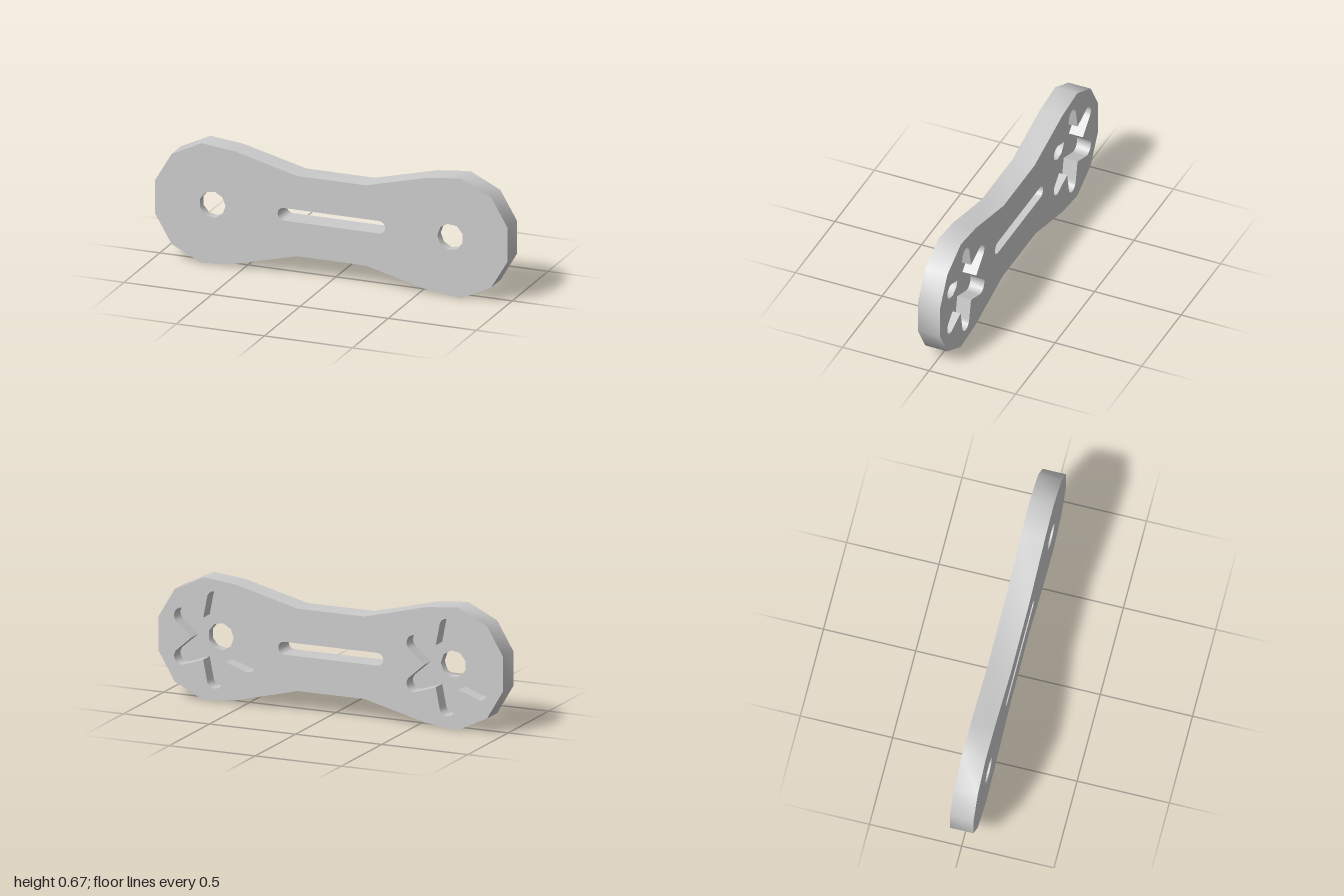
import * as THREE from 'three';
import { toCreasedNormals } from 'three/addons/utils/BufferGeometryUtils.js';

const MID = 0.334, FRONT = 0.064, BACK = -0.064, FLOOR = 0.016; // FLOOR: bottom of the star recess
const HUB_X = 0.675;
const material = new THREE.MeshStandardMaterial({ color: 0xcccccc });
const v2 = (x, y) => new THREE.Vector2(x, y);

// Points on an arc, counter-clockwise for a positive sweep
function arc(cx, cy, r, start, sweep, n) {
  return Array.from({ length: n + 1 }, (_, i) => {
    const a = start + (sweep * i) / n;
    return v2(cx + r * Math.cos(a), cy + r * Math.sin(a));
  });
}

// Dog-bone outline: the upper half, then its mirror image
function outlinePoints() {
  const quarter = [[1, 0.094], [0.907, 0.251], [0.737, 0.334], [0.55, 0.314], [0.195, 0.224]];
  const upper = [...quarter, ...quarter.map(([x, y]) => [-x, y]).reverse()];
  return [...upper, ...upper.map(([x, y]) => [-x, -y])].map(([x, y]) => v2(x, y + MID));
}

// Long slot with round ends
function slotPoints() {
  const r = 0.035, x = 0.27;
  return [
    ...arc(x, MID, r, -Math.PI / 2, Math.PI, 10),
    ...arc(-x, MID, r, Math.PI / 2, Math.PI, 10),
  ];
}

// Nine-sided shaft hole with one corner towards the middle
function holePoints(side) {
  return arc(side * HUB_X, MID, 0.074, side > 0 ? Math.PI : 0, Math.PI * 2, 9).slice(0, 9);
}

// Six tapered, round-tipped arms
function starPoints(side) {
  const points = [], cx = side * HUB_X, tip = 0.22, r = 0.045, root = 0.132;
  for (let i = 0; i < 6; i++) {
    const a = Math.PI / 6 + (i * Math.PI) / 3;
    points.push(...arc(cx + tip * Math.cos(a), MID + tip * Math.sin(a), r, a - Math.PI / 2, Math.PI, 8));
    const b = a + Math.PI / 6;
    points.push(v2(cx + root * Math.cos(b), MID + root * Math.sin(b)));
  }
  return points;
}

// Flat face with holes; the layout is mirror-symmetric, so a half turn gives a back face
function face(name, points, holes, z, backward) {
  const shape = new THREE.Shape(points);
  shape.holes = holes.map((h) => new THREE.Path(h));
  const geometry = new THREE.ShapeGeometry(shape);
  if (backward) geometry.rotateY(Math.PI);
  geometry.translate(0, 0, z);
  return named(name, geometry);
}

// Wall along a closed loop, facing out, or in for a hole
function wall(name, loop, z0, z1, inward, crease) {
  const points = inward ? [...loop].reverse() : loop;
  const position = [];
  points.forEach((a, i) => {
    const b = points[(i + 1) % points.length];
    position.push(a.x, a.y, z0, b.x, b.y, z0, b.x, b.y, z1);
    position.push(a.x, a.y, z0, b.x, b.y, z1, a.x, a.y, z1);
  });
  const geometry = new THREE.BufferGeometry();
  geometry.setAttribute('position', new THREE.Float32BufferAttribute(position, 3));
  return named(name, toCreasedNormals(geometry, crease));
}

function named(name, geometry) {
  const mesh = new THREE.Mesh(geometry, material);
  mesh.name = name;
  return mesh;
}

export function createModel() {
  const group = new THREE.Group();
  group.name = 'linkArm';
  const outline = outlinePoints(), slot = slotPoints();
  const sides = [-1, 1];

  // Plate
  group.add(
    face('frontFace', outline, [slot, ...sides.map(holePoints)], FRONT, false),
    face('backFace', outline, [slot, ...sides.map(starPoints)], BACK, true),
    wall('outerEdge', outline, BACK, FRONT, false, 1),
    wall('slotWall', slot, BACK, FRONT, true, 1),
  );

  // Shaft hole and star recess at each end
  for (const side of sides) {
    const hub = new THREE.Group();
    hub.name = side > 0 ? 'leftHub' : 'rightHub';
    const hole = holePoints(side), star = starPoints(side);
    hub.add(
      wall('shaftHole', hole, FLOOR, FRONT, true, 1),
      wall('starRecessWall', star, BACK, FLOOR, true, 1),
      face('starRecessFloor', star, [hole], FLOOR, true),
    );
    group.add(hub);
  }
  return group;
}
